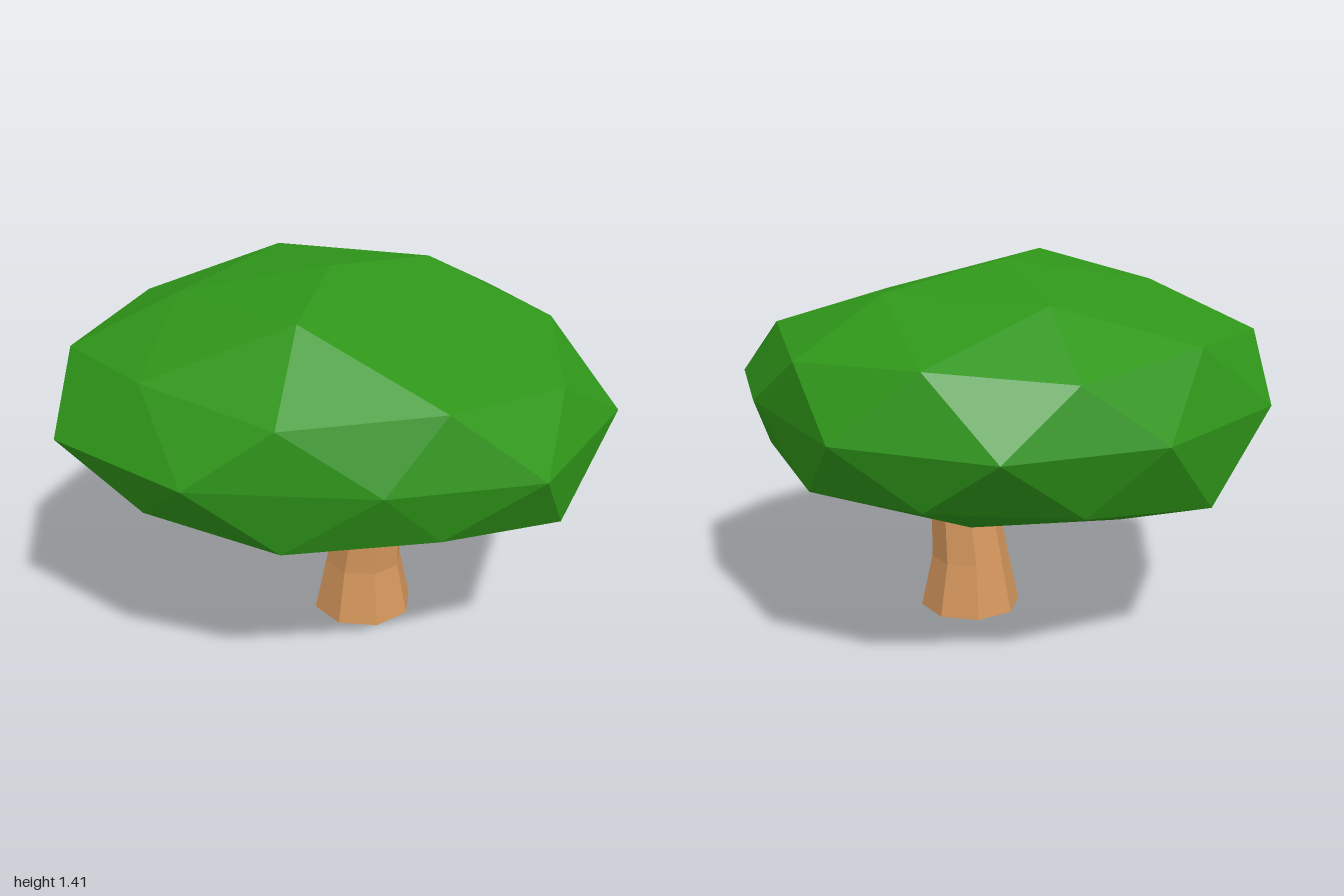
import * as THREE from 'three';

const bark = new THREE.MeshStandardMaterial({ color: 0xd2945a, flatShading: true });
const leaf = new THREE.MeshStandardMaterial({ color: 0x2f9619, flatShading: true });

function part(name, geometry, material) {
  const mesh = new THREE.Mesh(geometry, material);
  mesh.name = name;
  return mesh;
}

// Octagonal trunk: each ring is [height, centre x, radius]
function trunkGeometry() {
  const rings = [[0, 0.11, 0.2], [0.21, 0.11, 0.155], [0.47, 0.14, 0.13], [0.8, 0.15, 0.1]];
  const geo = new THREE.CylinderGeometry(1, 1, 3, 8, 3);
  const p = geo.attributes.position;
  for (let i = 0; i < p.count; i++) {
    const [y, cx, r] = rings[Math.round(p.getY(i) + 1.5)];
    p.setXYZ(i, cx + p.getX(i) * r, y, -0.012 + p.getZ(i) * r);
  }
  geo.computeVertexNormals();
  return geo;
}

// Tapered limb between two points
function limbGeometry(from, to, r0, r1) {
  const dir = to.clone().sub(from);
  const geo = new THREE.CylinderGeometry(r1, r0, dir.length(), 6);
  geo.applyQuaternion(new THREE.Quaternion().setFromUnitVectors(
    new THREE.Vector3(0, 1, 0), dir.normalize()));
  const mid = from.clone().add(to).multiplyScalar(0.5);
  return geo.translate(mid.x, mid.y, mid.z);
}

// Icosahedron standing on a corner, subdivided once, then flattened
function canopyGeometry() {
  const verts = [0, 1, 0];
  const h = 1 / Math.sqrt(5), r = 2 * h;
  for (let ring = 0; ring < 2; ring++) {
    for (let i = 0; i < 5; i++) {
      const a = (i + ring / 2) * Math.PI * 2 / 5;
      verts.push(r * Math.cos(a), ring ? -h : h, r * Math.sin(a));
    }
  }
  verts.push(0, -1, 0);
  const faces = [];
  for (let i = 0; i < 5; i++) {
    const j = (i + 1) % 5, u = 1 + i, u2 = 1 + j, l = 6 + i, l2 = 6 + j;
    faces.push(0, u2, u, u, u2, l, l, u2, l2, l, l2, 11);
  }
  const geo = new THREE.PolyhedronGeometry(verts, faces, 1, 1);
  geo.scale(1, 0.49, 1).translate(-0.03, 0.925, 0);

  // Irregular corners: the nearest corner is pulled to each of these points
  const pulls = [
    [0.14, 1.385, 0.53], [0.54, 1.25, 0.02], [-0.48, 1.34, 0.34], [-0.48, 1.34, -0.36],
    [0.71, 1.18, 0.53], [-0.32, 1.18, 0.81], [-0.3, 1.18, -0.84], [0.9, 1.11, -0.02],
    [-0.81, 1.145, 0.58], [-0.74, 1.145, -0.58],
    [1, 0.92, -0.35], [0.99, 0.92, 0.34], [0.57, 0.92, 0.71], [0.61, 0.92, -0.69],
    [-0.66, 0.92, 0.88], [-0.61, 0.92, -0.84], [-1, 0.92, 0.34], [-0.95, 0.92, -0.35],
    [0.97, 0.665, 0.12], [-0.94, 0.61, 0], [-0.19, 0.505, 0.54], [-0.19, 0.505, -0.42],
    [-0.57, 0.49, 0],
  ].map(c => new THREE.Vector3(...c));
  const p = geo.attributes.position;
  const base = Array.from({ length: p.count }, (_, i) => new THREE.Vector3().fromBufferAttribute(p, i));
  for (const target of pulls) {
    const near = base.reduce((a, b) => (b.distanceTo(target) < a.distanceTo(target) ? b : a));
    base.forEach((v, i) => {
      if (v.distanceTo(near) < 1e-3) p.setXYZ(i, target.x, target.y, target.z);
    });
  }
  geo.computeVertexNormals();
  return geo;
}

export function createModel() {
  const tree = new THREE.Group();
  tree.name = 'tree';
  tree.add(part('trunk', trunkGeometry(), bark));
  tree.add(part('branch', limbGeometry(
    new THREE.Vector3(0.13, 0.46, 0), new THREE.Vector3(-0.45, 0.56, 0.02), 0.07, 0.04), bark));
  tree.add(part('canopy', canopyGeometry(), leaf));
  return tree;
}
